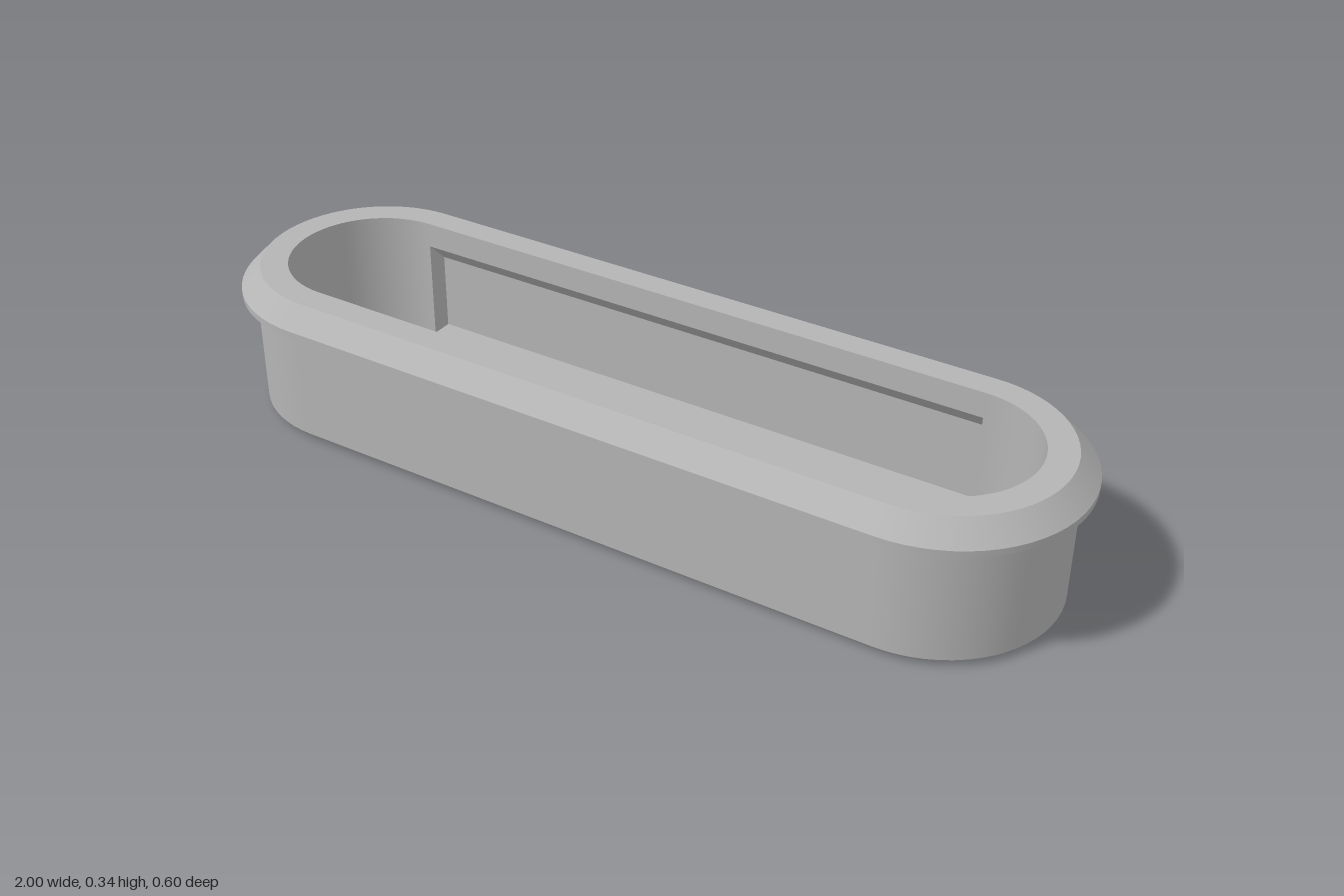
import * as THREE from 'three';

const L = 0.698;          // end-arc centres on x
const FLOOR = 0.05;       // top of the pocket floor
const RIM = 0.195;        // pocket opening radius
const UNDERCUT = 0.245;   // half width of the finger recess
const HOLE = 0.025, SINK = 0.055;

// Path points: a centre on x plus an outward direction.
function arc(cx, from, to, n = 32) {
  return Array.from({ length: n + 1 }, (_, i) => {
    const a = from + (to - from) * i / n;
    return { x: cx, nx: Math.sin(a), nz: Math.cos(a) };
  });
}

// Sweeps an [offset, y] profile along a path: smooth along it, sharp across profile corners.
function sweep(profile, path) {
  const pos = [], nor = [], idx = [];
  for (let j = 0; j < profile.length - 1; j++) {
    const [r0, y0] = profile[j], [r1, y1] = profile[j + 1];
    const len = Math.hypot(r1 - r0, y1 - y0);
    const nr = (y1 - y0) / len, ny = (r0 - r1) / len;
    const base = pos.length / 3;
    for (const p of path) {
      for (const [r, y] of [[r0, y0], [r1, y1]]) {
        pos.push(p.x + p.nx * r, y, p.nz * r);
        nor.push(p.nx * nr, ny, p.nz * nr);
      }
    }
    for (let i = 0; i < path.length - 1; i++) {
      const a = base + i * 2;
      idx.push(a, a + 2, a + 3, a, a + 3, a + 1);
    }
  }
  const g = new THREE.BufferGeometry();
  g.setAttribute('position', new THREE.Float32BufferAttribute(pos, 3));
  g.setAttribute('normal', new THREE.Float32BufferAttribute(nor, 3));
  g.setIndex(idx);
  return g;
}

// Flat plate with the two screw holes cut out.
function plate(shape, holeRadius) {
  for (const s of [-1, 1]) {
    shape.holes.push(new THREE.Path().absarc(s * L, 0, holeRadius, 0, Math.PI * 2, true));
  }
  return new THREE.ShapeGeometry(shape, 32);
}

// Stadium outline, its straight sides optionally widened.
function stadium(r, side = r) {
  const s = new THREE.Shape();
  s.moveTo(-L, -side);
  s.lineTo(L, -side);
  s.absarc(L, 0, r, -Math.PI / 2, Math.PI / 2, false);
  s.lineTo(L, side);
  s.lineTo(-L, side);
  s.absarc(-L, 0, r, Math.PI / 2, Math.PI * 1.5, false);
  s.closePath();
  return s;
}

export function createModel() {
  const metal = new THREE.MeshStandardMaterial({ color: 0xb4b4b4 });
  metal.name = 'satin grey';
  const group = new THREE.Group();
  group.name = 'flushPullHandle';
  const add = (name, geometry) => {
    const mesh = new THREE.Mesh(geometry, metal);
    mesh.name = name;
    group.add(mesh);
    return mesh;
  };

  const rightEnd = arc(L, 0, Math.PI), leftEnd = arc(-L, Math.PI, Math.PI * 2);
  const loop = [...rightEnd, ...leftEnd, rightEnd[0]];

  // Outer body and bevelled flange
  add('body', sweep([[0.255, 0], [0.27, 0.016], [0.27, 0.281]], loop));
  add('flange', sweep([[0.27, 0.281], [0.302, 0.281], [0.302, 0.296], [0.257, 0.342], [RIM, 0.342]], loop));
  add('bottom', plate(stadium(0.255), HOLE).rotateX(Math.PI / 2));

  // Pocket: rounded ends, undercut long sides
  add('pocketEndLeft', sweep([[RIM, 0.342], [RIM, FLOOR]], rightEnd));
  add('pocketEndRight', sweep([[RIM, 0.342], [RIM, FLOOR]], leftEnd));
  const lip = [[RIM, 0.342], [RIM, 0.283], [UNDERCUT, 0.233], [UNDERCUT, FLOOR]];
  const front = [{ x: -L, nx: 0, nz: 1 }, { x: L, nx: 0, nz: 1 }];
  const back = [{ x: L, nx: 0, nz: -1 }, { x: -L, nx: 0, nz: -1 }];
  add('fingerGripFront', sweep(lip, front));
  add('fingerGripBack', sweep(lip, back));
  add('pocketFloor', plate(stadium(RIM, UNDERCUT), SINK).rotateX(-Math.PI / 2).translate(0, FLOOR, 0));

  // End walls of the undercuts, facing the middle
  const outline = [...lip.slice(1), [RIM, FLOOR]];
  for (const sx of [-1, 1]) {
    for (const sz of [-1, 1]) {
      const shape = new THREE.Shape(outline.map(([r, y]) => new THREE.Vector2(sx * sz * r, y)));
      add('undercutEnd', new THREE.ShapeGeometry(shape).rotateY(-sx * Math.PI / 2).translate(sx * L, 0, 0));
    }
  }

  // Countersunk screw holes
  for (const sx of [-1, 1]) {
    add('screwHole', sweep([[SINK, FLOOR], [HOLE, FLOOR - 0.03], [HOLE, 0]], arc(sx * L, 0, Math.PI * 2, 40)));
  }
  return group;
}
